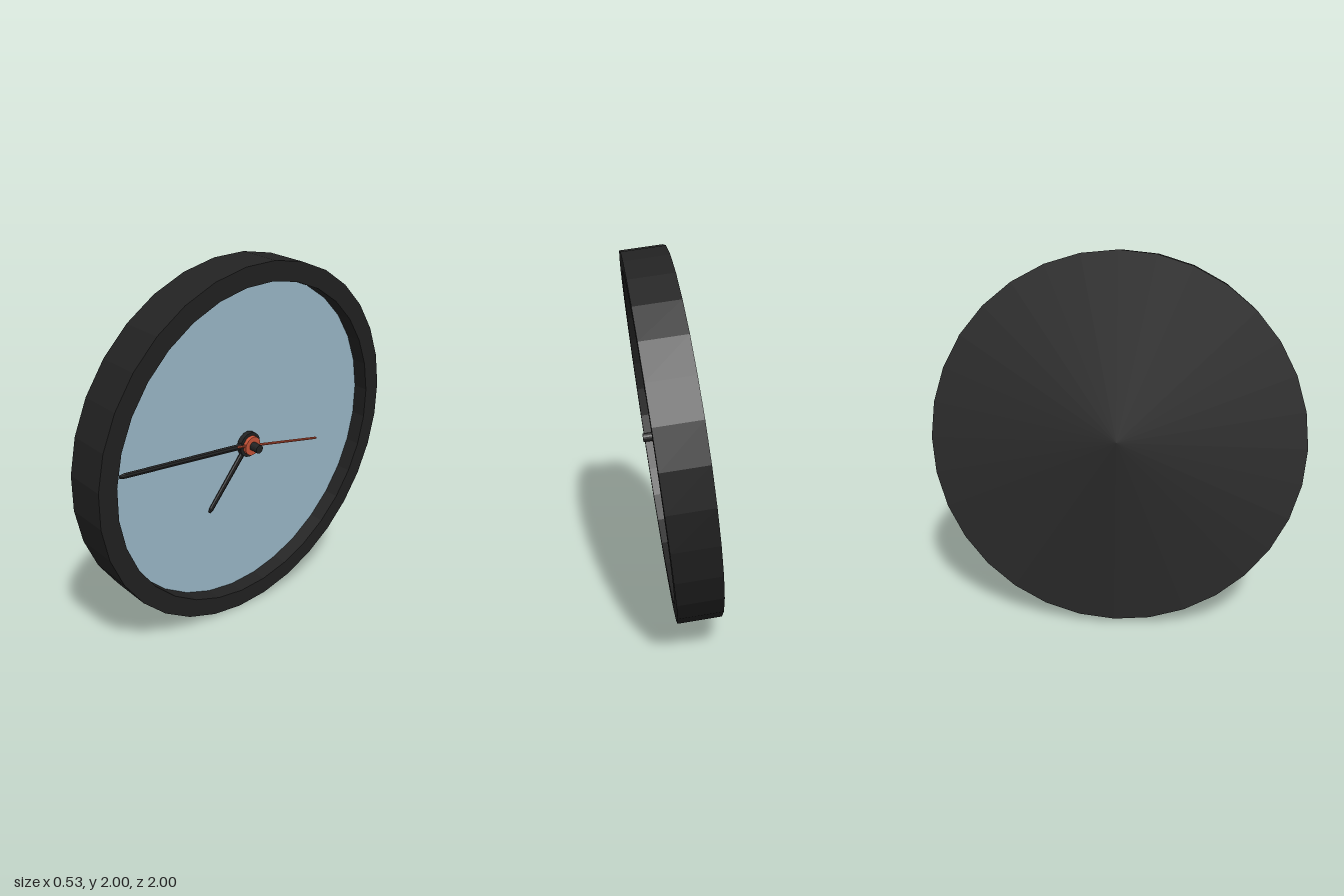
import * as THREE from 'three';

export function createModel() {
  const mat = (name, color, flatShading = true) =>
    new THREE.MeshStandardMaterial({ name, color, flatShading });
  const black = mat('black', 0x222222);
  const blue = mat('pale blue', 0xa0bfcf);
  const red = mat('red orange', 0xcc5539);

  const R = 0.993, INNER = 0.89, HALF = 0.115, FACE = 0.03, SIDES = 32;
  const clock = new THREE.Group();
  clock.name = 'clock';
  const add = (name, geo, material, z = 0, parent = clock) => {
    const m = new THREE.Mesh(geo, material);
    m.name = name;
    m.position.z = z;
    parent.add(m);
    return m;
  };

  // Case: closed back, side wall, front rim and recessed inner wall
  const profile = [[0, -HALF], [R, -HALF], [R, HALF], [INNER, HALF], [INNER, FACE - 0.005]]
    .map(([r, y]) => new THREE.Vector2(r, y));
  add('case', new THREE.LatheGeometry(profile, SIDES).rotateX(Math.PI / 2), black);

  // Dial
  add('dial', new THREE.CircleGeometry(INNER, SIDES), blue, FACE);

  // Hands: slim rods with a tapered tip, pointing along (dx, dy) from the hub
  const hand = (name, dx, dy, z, width, tail, material, taper) => {
    const len = Math.hypot(dx, dy), r = width / 2;
    const pts = [[0, -tail], [r, -tail], [r * taper, len - r * 1.5], [r * 0.5, len], [0, len]]
      .map(([a, b]) => new THREE.Vector2(a, b));
    const geo = new THREE.LatheGeometry(pts, 8);
    geo.scale(1, 1, 0.8);
    const m = add(name, geo, material, z);
    m.rotation.z = Math.atan2(-dx, dy);
  };
  hand('hourHand', -0.24, -0.348, 0.05, 0.032, 0, black, 0.85);
  hand('minuteHand', -0.84, 0.024, 0.062, 0.036, 0, black, 0.8);
  hand('secondHand', 0.52, -0.07, 0.08, 0.016, 0.1, red, 0.9);

  // Hub discs and the protruding spindle
  const disc = (name, r, z0, z1, material) =>
    add(name, new THREE.CylinderGeometry(r, r, z1 - z0, 16).rotateX(Math.PI / 2), material, (z0 + z1) / 2);
  disc('handHub', 0.07, 0.04, 0.068, black);
  disc('secondHandHub', 0.053, 0.07, 0.09, red);
  disc('spindle', 0.024, FACE, 0.14, black);

  // Tilt the dial axis: facing +x, leaning slightly down and back
  const n = new THREE.Vector3(0.988, -0.128, -0.08).normalize();
  const x = new THREE.Vector3(0, 1, 0).cross(n).normalize();
  const y = n.clone().cross(x);
  clock.quaternion.setFromRotationMatrix(new THREE.Matrix4().makeBasis(x, y, n));
  clock.position.y = 1;

  const model = new THREE.Group();
  model.name = 'wallClock';
  model.add(clock);
  return model;
}
